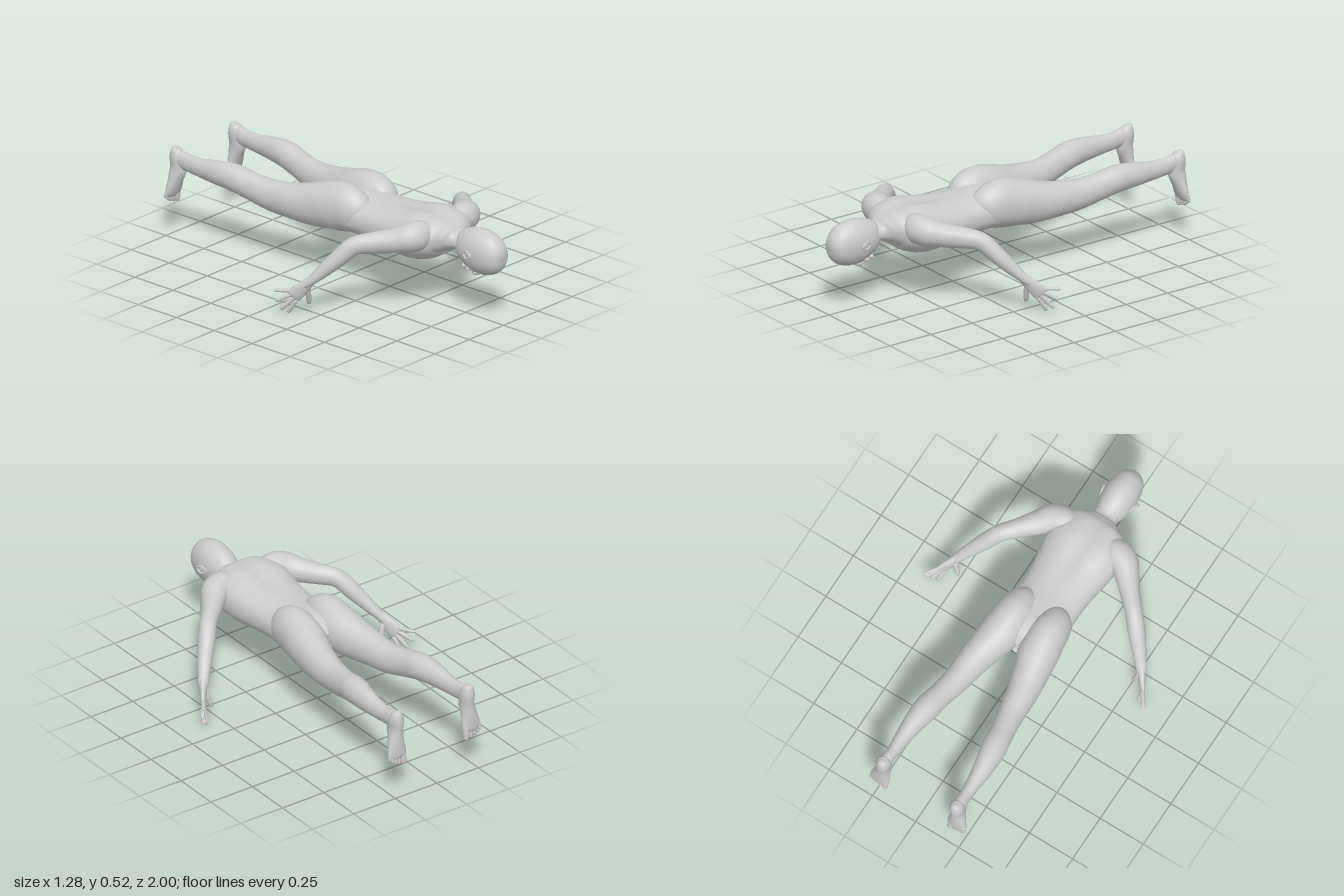
import * as THREE from 'three';

const skin = new THREE.MeshStandardMaterial({ color: 0xcccccc });
skin.name = 'plain grey';

// Closed smooth tube through sections [x, y, z, halfWidth, halfHeight]; "up" is the height direction.
function loft(name, sections, { up = [0, 1, 0], n = 20, sub = 4, power = 2, rule = null } = {}) {
  const path = new THREE.CatmullRomCurve3(sections.map(s => new THREE.Vector3(s[0], s[1], s[2])), false, 'catmullrom');
  const size = new THREE.CatmullRomCurve3(sections.map(s => new THREE.Vector3(s[3], s[4], 0)), false, 'catmullrom');
  const ref = new THREE.Vector3(...up);
  const rows = (sections.length - 1) * sub;
  const pos = [], index = [];
  const bend = c => Math.sign(c) * Math.pow(Math.abs(c), 2 / power);
  for (let i = 0; i <= rows; i++) {
    const c = path.getPoint(i / rows), r = size.getPoint(i / rows), t = path.getTangent(i / rows);
    const v = ref.clone().addScaledVector(t, -ref.dot(t)).normalize();
    const u = v.clone().cross(t);
    for (let j = 0; j < n; j++) {
      const a = (j / n) * Math.PI * 2;
      const p = c.clone()
        .addScaledVector(u, bend(Math.cos(a)) * Math.max(r.x, 0.001))
        .addScaledVector(v, bend(Math.sin(a)) * Math.max(r.y, 0.001));
      if (rule) rule(p, Math.sin(a));
      pos.push(p.x, p.y, p.z);
      if (i < rows) {
        const k = i * n + j, l = i * n + (j + 1) % n;
        index.push(k, l, l + n, k, l + n, k + n);
      }
    }
  }
  // end caps
  const first = pos.length / 3, last = rows * n;
  for (const q of [path.getPoint(0), path.getPoint(1)]) pos.push(q.x, q.y, q.z);
  for (let j = 0; j < n; j++) {
    const k = (j + 1) % n;
    index.push(first, k, j, first + 1, last + j, last + k);
  }
  const g = new THREE.BufferGeometry();
  g.setAttribute('position', new THREE.Float32BufferAttribute(pos, 3));
  g.setIndex(index);
  g.computeVertexNormals();
  const mesh = new THREE.Mesh(g, skin);
  mesh.name = name;
  return mesh;
}

// Sections along z given as [z, bottom, top, halfWidth]
const along = rows => rows.map(([z, b, t, w]) => [0, (b + t) / 2, z, w, (t - b) / 2]);

// Rounded finger or toe between two points
function digit(name, a, b, r, up) {
  const at = (k, f) => [...a.map((v, i) => v + (b[i] - v) * k), r * f, r * f];
  return loft(name, [at(0, 1), at(0.45, 1.02), at(0.8, 0.92), at(0.95, 0.65), at(1, 0.1)], { up, n: 10, sub: 3 });
}

function blob(name, p, s) {
  const m = new THREE.Mesh(new THREE.SphereGeometry(1, 16, 12), skin);
  m.name = name;
  m.position.set(...p);
  m.scale.set(...s);
  return m;
}

function makeHead() {
  const g = new THREE.Group();
  g.name = 'head';
  g.add(loft('skull', along([
    [1.0, 0.355, 0.365, 0.004], [0.99, 0.31, 0.41, 0.042], [0.955, 0.266, 0.45, 0.07],
    [0.90, 0.244, 0.47, 0.084], [0.85, 0.242, 0.475, 0.087], [0.80, 0.246, 0.463, 0.082],
    [0.765, 0.244, 0.435, 0.07], [0.742, 0.255, 0.395, 0.054], [0.73, 0.28, 0.35, 0.02],
  ]), { n: 28 }));
  g.add(loft('nose', [
    [0, 0.25, 0.86, 0.006, 0.006], [0, 0.24, 0.84, 0.009, 0.01],
    [0, 0.233, 0.815, 0.016, 0.014], [0, 0.24, 0.8, 0.008, 0.006],
  ], { n: 12 }));
  g.add(blob('upperLip', [0, 0.246, 0.782], [0.024, 0.011, 0.007]));
  g.add(blob('lowerLip', [0, 0.246, 0.77], [0.02, 0.011, 0.007]));
  g.add(blob('chin', [0, 0.257, 0.75], [0.024, 0.016, 0.013]));
  for (const s of [1, -1]) {
    g.add(blob('eye', [s * 0.033, 0.262, 0.84], [0.015, 0.009, 0.009]));
    // ear rim and inner ear
    const ear = new THREE.Group();
    ear.name = 'ear';
    const rim = new THREE.Mesh(new THREE.TorusGeometry(0.022, 0.006, 8, 20), skin);
    rim.name = 'earRim';
    rim.scale.set(1.2, 0.8, 1);
    ear.add(rim, blob('earBowl', [0, 0, -0.004], [0.024, 0.016, 0.006]));
    ear.position.set(s * 0.091, 0.358, 0.838);
    ear.rotation.y = s * (Math.PI / 2 + 0.25);
    g.add(ear);
  }
  return g;
}

function makeTorso() {
  // spine groove on the back, shallow groove down the chest
  const groove = (p, side) => {
    const dip = Math.exp(-Math.pow(p.x / 0.035, 2));
    const zone = Math.exp(-Math.pow((p.z - 0.48) / 0.16, 2));
    if (side > 0) p.y -= 0.018 * dip * zone;
    else p.y += 0.012 * dip * zone;
  };
  return loft('torso', along([
    [0.80, 0.33, 0.43, 0.05], [0.74, 0.335, 0.422, 0.06], [0.70, 0.33, 0.43, 0.075],
    [0.67, 0.315, 0.455, 0.125], [0.63, 0.29, 0.485, 0.175], [0.56, 0.255, 0.498, 0.2],
    [0.49, 0.237, 0.492, 0.197], [0.42, 0.236, 0.48, 0.187], [0.30, 0.25, 0.466, 0.17],
    [0.20, 0.26, 0.462, 0.166], [0.10, 0.265, 0.47, 0.176], [0.02, 0.27, 0.47, 0.185],
    [-0.04, 0.275, 0.44, 0.15], [-0.075, 0.3, 0.4, 0.06], [-0.08, 0.34, 0.36, 0.01],
  ]), { n: 40, power: 2.25, rule: groove });
}

function makeLeg(s) {
  const g = new THREE.Group();
  g.name = s > 0 ? 'leftLeg' : 'rightLeg';
  g.add(loft('legAndButtock', [
    [0.085, 0.37, 0.18, 0.03, 0.04], [0.092, 0.388, 0.14, 0.075, 0.092], [0.098, 0.396, 0.09, 0.092, 0.117],
    [0.1, 0.398, 0.03, 0.098, 0.126], [0.109, 0.384, -0.06, 0.102, 0.119], [0.125, 0.37, -0.14, 0.092, 0.109],
    [0.145, 0.362, -0.25, 0.08, 0.092], [0.16, 0.361, -0.38, 0.067, 0.08], [0.18, 0.383, -0.5, 0.061, 0.071],
    [0.195, 0.405, -0.6, 0.064, 0.069], [0.206, 0.406, -0.7, 0.052, 0.061], [0.21, 0.403, -0.8, 0.039, 0.049],
    [0.211, 0.406, -0.88, 0.031, 0.045], [0.213, 0.415, -0.94, 0.031, 0.046], [0.213, 0.42, -0.975, 0.02, 0.03],
  ].map(p => [p[0] * s, ...p.slice(1)]), { n: 24 }));
  // foot points down with the sole facing backwards
  g.add(loft('foot', [
    [0.213, 0.472, -0.967, 0.008, 0.008], [0.213, 0.46, -0.967, 0.025, 0.026], [0.213, 0.425, -0.957, 0.036, 0.042],
    [0.214, 0.37, -0.948, 0.034, 0.048], [0.219, 0.31, -0.961, 0.042, 0.036], [0.222, 0.26, -0.971, 0.052, 0.026],
    [0.223, 0.23, -0.977, 0.05, 0.019], [0.222, 0.215, -0.98, 0.03, 0.01],
  ].map(p => [p[0] * s, ...p.slice(1)]), { up: [0, 0, 1], n: 20 }));
  const toes = [[0.188, 0.173, 0.016], [0.216, 0.18, 0.0115], [0.238, 0.188, 0.011], [0.256, 0.199, 0.0105], [0.27, 0.212, 0.01]];
  toes.forEach(([x, y, r], i) =>
    g.add(digit('toe', [s * (x * 0.9 + 0.022), 0.25 + i * 0.002, -0.975], [s * x, y, -0.984], r, [0, 0, 1])));
  return g;
}

function makeArm(s) {
  const g = new THREE.Group();
  g.name = s > 0 ? 'leftArm' : 'rightArm';
  const flip = p => [p[0] * s, ...p.slice(1)];
  g.add(loft('upperArmAndForearm', [
    [0.09, 0.415, 0.59, 0.04, 0.05], [0.145, 0.413, 0.585, 0.068, 0.074], [0.205, 0.408, 0.565, 0.072, 0.074],
    [0.26, 0.395, 0.51, 0.06, 0.062], [0.325, 0.384, 0.44, 0.048, 0.054], [0.39, 0.37, 0.372, 0.043, 0.047],
    [0.435, 0.315, 0.322, 0.043, 0.044], [0.487, 0.245, 0.265, 0.035, 0.035], [0.535, 0.18, 0.21, 0.026, 0.022],
    [0.55, 0.155, 0.19, 0.018, 0.014],
  ].map(flip), { n: 20 }));
  // palm, thin across its normal
  const up = [0.77 * s, -0.08, 0.64];
  g.add(loft('palm', [
    [0.525, 0.197, 0.224, 0.022, 0.018], [0.54, 0.172, 0.203, 0.027, 0.019], [0.56, 0.138, 0.174, 0.036, 0.017],
    [0.58, 0.104, 0.146, 0.039, 0.013], [0.586, 0.094, 0.138, 0.03, 0.006],
  ].map(flip), { up, n: 18 }));
  const fingers = [
    ['indexFinger', [0.57, 0.08, 0.153], [0.586, 0.005, 0.11]],
    ['middleFinger', [0.577, 0.096, 0.147], [0.618, 0.025, 0.09]],
    ['ringFinger', [0.584, 0.113, 0.14], [0.637, 0.07, 0.073]],
    ['littleFinger', [0.589, 0.128, 0.136], [0.637, 0.125, 0.065]],
    ['thumb', [0.535, 0.145, 0.195], [0.506, 0.045, 0.178]],
  ];
  fingers.forEach(([name, a, b], i) => g.add(digit(name, flip(a), flip(b), [0.0105, 0.011, 0.0105, 0.009, 0.0135][i], up)));
  return g;
}

export function createModel() {
  const model = new THREE.Group();
  model.name = 'lyingFigure';
  model.add(makeHead(), makeTorso());
  for (const s of [1, -1]) model.add(makeLeg(s), makeArm(s));
  return model;
}
